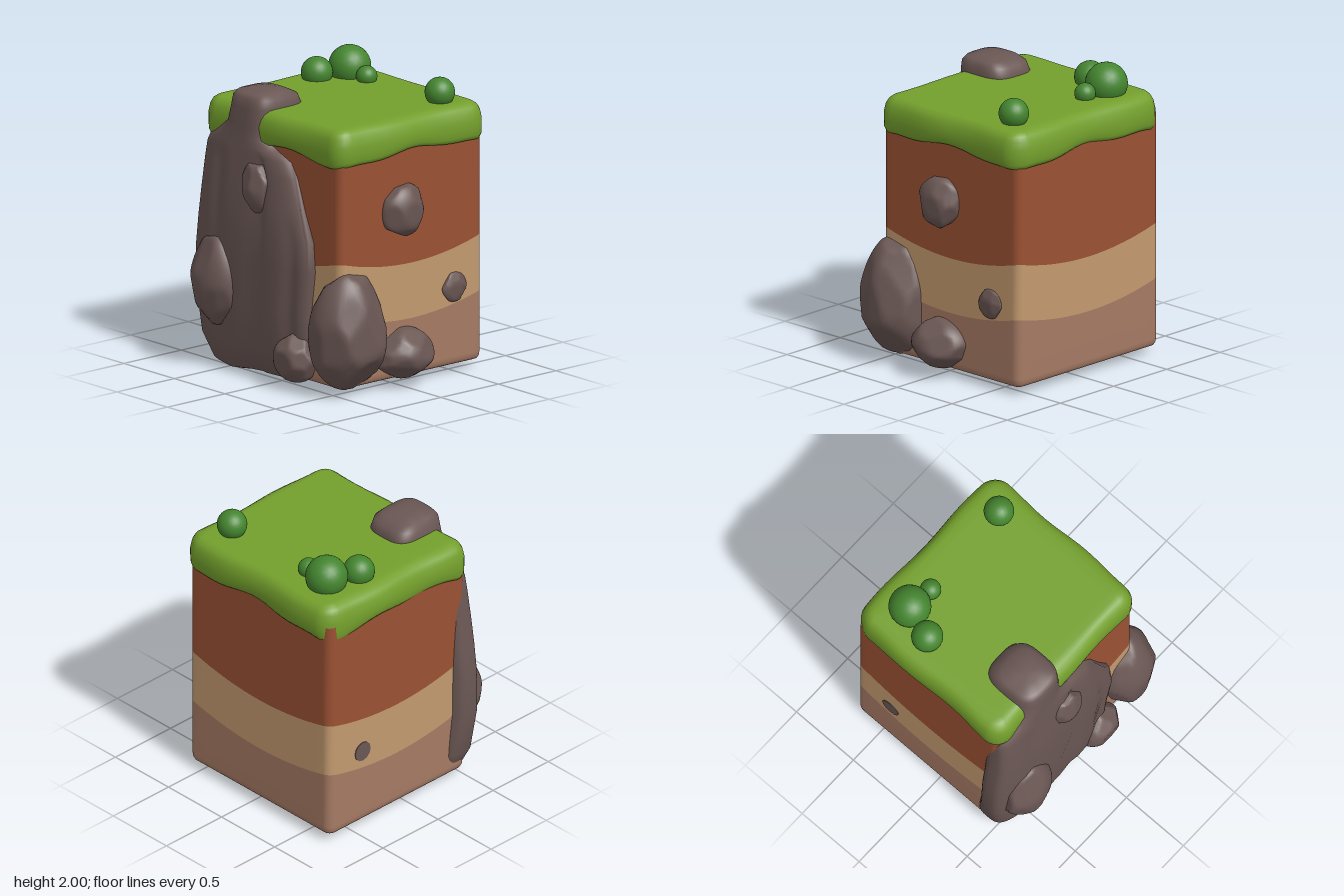
import * as THREE from 'three';
import { mergeVertices } from 'three/addons/utils/BufferGeometryUtils.js';

const mat = (name, color) => Object.assign(new THREE.MeshStandardMaterial({ color }), { name });

// Small seeded random generator
function seeded(seed) {
  let s = seed * 7919 + 17;
  return () => (s = (s * 16807) % 2147483647) / 2147483647;
}

// Skin through rings of [x, y, z] points, listed bottom to top
function loft(rings, capBottom, capTop) {
  const n = rings[0].length, pos = rings.flat(2), idx = [];
  for (let j = 0; j < rings.length - 1; j++) {
    for (let i = 0; i < n; i++) {
      const k = (i + 1) % n, a = j * n + i, b = j * n + k;
      idx.push(a, a + n, b, b, a + n, b + n);
    }
  }
  const cap = (j, top) => {
    const c = pos.length / 3;
    pos.push(...[0, 1, 2].map(d => rings[j].reduce((s, p) => s + p[d], 0) / n));
    for (let i = 0; i < n; i++) {
      const a = j * n + i, b = j * n + (i + 1) % n;
      idx.push(c, ...(top ? [b, a] : [a, b]));
    }
  };
  if (capBottom) cap(0, false);
  if (capTop) cap(rings.length - 1, true);
  const g = new THREE.BufferGeometry();
  g.setAttribute('position', new THREE.Float32BufferAttribute(pos, 3));
  g.setIndex(idx);
  g.computeVertexNormals();
  return g;
}

// Rounded rectangle in plan; each point is [x, z, cornerness 0..1]
function plan(x0, x1, z0, z1, radius, inset) {
  const cx = (x0 + x1) / 2, cz = (z0 + z1) / 2;
  const hx = (x1 - x0) / 2 - inset, hz = (z1 - z0) / 2 - inset;
  const r = Math.max(0.015, radius - inset), pts = [];
  for (let q = 0; q < 4; q++) {
    const sx = [1, -1, -1, 1][q], sz = [1, 1, -1, -1][q];
    const corner = [];
    for (let i = 0; i <= 6; i++) {
      const a = (q + i / 6) * Math.PI / 2;
      corner.push([sx * (hx - r) + r * Math.cos(a), sz * (hz - r) + r * Math.sin(a)]);
    }
    pts.push(...corner);
    // straight side up to the next corner
    const [ex, ez] = corner[6];
    const tx = q % 2 ? ex : -sx * (hx - r), tz = q % 2 ? -sz * (hz - r) : ez;
    for (let i = 1; i < 18; i++) pts.push([ex + (tx - ex) * i / 18, ez + (tz - ez) * i / 18]);
  }
  return pts.map(([x, z]) => [cx + x, cz + z, Math.min(1, (x / hx) ** 2 * (z / hz) ** 2)]);
}

// Boulder: sphere cut by random planes, fitted to centre c and half sizes h
function boulderGeometry(c, h, seed, taper) {
  const rnd = seeded(seed), cuts = [];
  for (let i = 0; i < 26; i++) {
    const n = new THREE.Vector3(rnd() * 2 - 1, rnd() * 2 - 1, rnd() * 2 - 1).normalize();
    cuts.push([n, 0.85 + rnd() * 0.1]);
  }
  let g = new THREE.IcosahedronGeometry(1, 9);
  g.deleteAttribute('uv');
  g.deleteAttribute('normal');
  g = mergeVertices(g, 1e-4);
  const p = g.attributes.position, v = new THREE.Vector3();
  for (let i = 0; i < p.count; i++) {
    v.fromBufferAttribute(p, i).normalize();
    let r = 1;
    for (const [n, d] of cuts) {
      const k = v.dot(n);
      if (k > 0.3) r = Math.min(r, d / k);
    }
    v.multiplyScalar(r);
    const w = 1 - taper * v.y;
    p.setXYZ(i, v.x * w, v.y, v.z * w);
  }
  g.center();
  g.computeBoundingBox();
  const b = g.boundingBox.max;
  g.scale(h[0] / b.x, h[1] / b.y, h[2] / b.z).translate(...c);
  g.computeVertexNormals();
  return g;
}

export function createModel() {
  const group = new THREE.Group();
  const grass = mat('grass green', 0x74a02d), bush = mat('bush green', 0x44852f);
  const clay = mat('red clay', 0x9a5133), sand = mat('sand', 0xc39a6f);
  const earth = mat('pale earth', 0xa67a64), rock = mat('rock', 0x6a5754);
  const add = (name, geometry, material) => {
    const m = new THREE.Mesh(geometry, material);
    m.name = name;
    group.add(m);
    return m;
  };

  // Earth block in three wavy layers
  const wall = (inset, y, wave = 0) =>
    plan(-0.725, 0.6, -0.72, 0.52, 0.06, inset).map(([x, z, c]) => [x, y + wave * c, z]);
  add('bottomLayer', loft([wall(0.15, 0.05), wall(0.04, 0.05), wall(0.015, 0.06),
    wall(0.004, 0.08), wall(0, 0.11), wall(0, 0.44, 0.09)], true, false), earth);
  add('middleLayer', loft([wall(0, 0.44, 0.09), wall(0, 0.815, 0.095)]), sand);
  add('upperLayer', loft([wall(0, 0.815, 0.095), wall(0, 1.66)]), clay);

  // Grass slab with a drooping, uneven rim
  const rim = (inset, y, droop, wobble) =>
    plan(-0.745, 0.635, -0.745, 0.55, 0.13, inset).map(([x, z, c]) => {
      const s = wobble * 0.009;
      return [x + s * Math.sin(9 * z + 1), y + droop * (0.025 - 0.055 * c + 0.012 * Math.sin(11 * (x - z))),
        z + s * Math.sin(8 * x + 2)];
    });
  add('grassTop', loft([rim(0.09, 1.6, 1, 0), rim(0.04, 1.565, 1, 0.5), rim(0.018, 1.562, 1, 1),
    rim(0.003, 1.59, 0.9, 1), rim(0, 1.64, 0.5, 1), rim(0, 1.69, 0.2, 1), rim(0.012, 1.74, 0, 1),
    rim(0.03, 1.772, 0, 1), rim(0.06, 1.794, 0, 0.6), rim(0.1, 1.8, 0, 0), rim(0.16, 1.8, 0, 0)],
  true, true), grass);

  // Cliff: rows of [y, left x, right x, back z, front z]
  const rows = [
    [0.03, -0.6, 0.15, 0.36, 0.5], [0.05, -0.69, 0.24, 0.3, 0.57], [0.2, -0.76, 0.3, 0.3, 0.62],
    [0.5, -0.8, 0.31, 0.36, 0.63], [0.8, -0.79, 0.35, 0.36, 0.64], [1.0, -0.765, 0.335, 0.36, 0.64],
    [1.2, -0.74, 0.25, 0.36, 0.63], [1.4, -0.72, 0.18, 0.36, 0.61], [1.5, -0.71, 0.12, 0.34, 0.6],
    [1.55, -0.69, 0.0, 0.3, 0.595], [1.6, -0.62, -0.1, 0.2, 0.59], [1.68, -0.52, -0.12, 0.17, 0.585],
    [1.8, -0.49, -0.125, 0.16, 0.58], [1.86, -0.48, -0.13, 0.19, 0.57],
    [1.89, -0.45, -0.16, 0.25, 0.545], [1.905, -0.37, -0.22, 0.32, 0.47]];
  const bend = (t, e) => Math.sign(t) * Math.abs(t) ** e;
  const bump = (x, at, width) => Math.exp(-(((x - at) / width) ** 2));
  add('cliff', loft(rows.map(([y, xl, xr, zb, zf]) => {
    const ring = [];
    for (let i = 0; i < 80; i++) {
      const a = i / 80 * Math.PI * 2, s = Math.sin(a);
      const x = (xl + xr) / 2 + (xr - xl) / 2 * bend(Math.cos(a), 0.6);
      let z = (zb + zf) / 2 + (zf - zb) / 2 * bend(s, 0.6);
      // vertical seams on the front face
      if (s > 0.3 && y < 1.5) z -= 0.03 * bump(x, -0.16 + 0.05 * y, 0.035)
        + 0.02 * bump(x, 0.15 + 0.06 * y, 0.06) + 0.012 * bump(x, -0.5, 0.05);
      ring.push([x, y - (y < 0.1 ? 0.03 * bump(x, -0.45, 0.15) : 0), z]);
    }
    return ring;
  }), true, true), rock);

  // Boulders: name, centre, half sizes, seed, taper
  [['leftBoulder', [-0.535, 0.595, 0.6], [0.2, 0.305, 0.145], 3, 0.1],
    ['cliffStone', [-0.145, 1.29, 0.59], [0.125, 0.17, 0.09], 5, 0],
    ['smallFrontBoulder', [0.2, 0.21, 0.55], [0.168, 0.168, 0.135], 8, 0.05],
    ['largeCornerBoulder', [0.545, 0.445, 0.415], [0.24, 0.405, 0.265], 11, 0.16],
    ['sideBoulder', [0.6, 0.225, -0.015], [0.19, 0.17, 0.225], 14, 0.08],
    ['sideStone', [0.6, 1.185, -0.01], [0.115, 0.175, 0.17], 17, 0],
    ['sidePebble', [0.605, 0.585, -0.463], [0.035, 0.1, 0.102], 21, 0],
  ].forEach(([name, c, h, seed, taper]) => add(name, boulderGeometry(c, h, seed, taper), rock));

  // Flush pebble on the opposite wall
  const flush = add('flushPebble', new THREE.CylinderGeometry(0.07, 0.07, 0.008, 12), rock);
  flush.rotation.z = Math.PI / 2;
  flush.position.set(-0.726, 0.59, -0.42);

  // Round bushes: x, y, z, radius
  [[-0.46, 1.86, -0.49, 0.141], [-0.535, 1.84, -0.27, 0.105],
    [-0.275, 1.83, -0.475, 0.07], [0.42, 1.86, -0.5, 0.1]].forEach(([x, y, z, r]) =>
    add('bush', new THREE.IcosahedronGeometry(r, 4), bush).position.set(x, y, z));

  return group;
}
